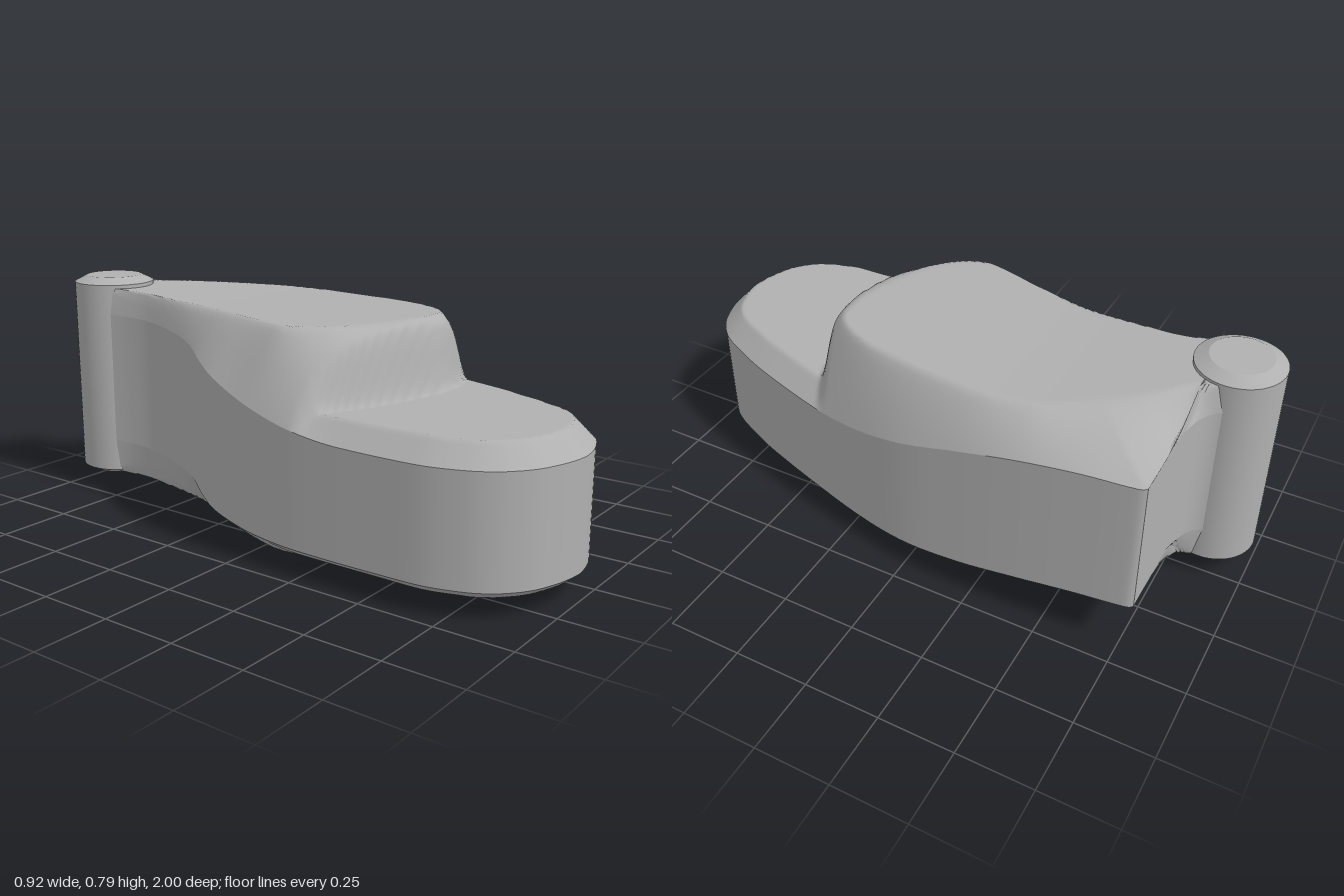
import * as THREE from 'three';
import { toCreasedNormals } from 'three/addons/utils/BufferGeometryUtils.js';

const { lerp, clamp, smoothstep } = THREE.MathUtils;

// Smooth curve through [position, value] pairs sorted by position
function table(k) {
  const slope = (i) => {
    const a = k[Math.max(i - 1, 0)], b = k[Math.min(i + 1, k.length - 1)];
    return (b[1] - a[1]) / (b[0] - a[0]);
  };
  return (p) => {
    if (p <= k[0][0]) return k[0][1];
    if (p >= k[k.length - 1][0]) return k[k.length - 1][1];
    let i = 0;
    while (p > k[i + 1][0]) i++;
    const h = k[i + 1][0] - k[i][0], t = (p - k[i][0]) / h, s = 1 - t;
    return k[i][1] * (1 + 2 * t) * s * s + slope(i) * h * t * s * s
      + k[i + 1][1] * t * t * (3 - 2 * t) - slope(i + 1) * h * t * t * s;
  };
}

// Plan outline: x of both sides against z
const leftSide = table([[-0.88, -0.2], [-0.84, -0.235], [-0.78, -0.22], [-0.7, -0.205], [-0.6, -0.2],
  [-0.45, -0.225], [-0.35, -0.265], [-0.25, -0.33], [-0.15, -0.385], [0, -0.43], [0.1, -0.447],
  [0.25, -0.46], [0.6, -0.46], [0.7, -0.453], [0.8, -0.425], [0.85, -0.4], [0.9, -0.36],
  [0.95, -0.295], [0.98, -0.22], [0.995, -0.16], [1, -0.115]]);
const rightSide = table([[-0.79, 0.435], [-0.775, 0.446], [-0.6, 0.455], [-0.4, 0.457], [-0.2, 0.45],
  [0, 0.433], [0.2, 0.388], [0.4, 0.328], [0.6, 0.262], [0.7, 0.225], [0.8, 0.18], [0.85, 0.155],
  [0.9, 0.12], [0.95, 0.06], [0.98, -0.01], [0.995, -0.07], [1, -0.115]]);
const neckSide = table([[-0.88, 0.02], [-0.84, 0.045], [-0.81, 0.09], [-0.79, 0.17]]);

// Heights against z: wall edges, raised top pad, lowered bottom pad
const wallTop = table([[-0.88, 0.67], [-0.79, 0.66], [-0.6, 0.65], [-0.4, 0.62], [-0.2, 0.57],
  [0, 0.51], [0.2, 0.46], [0.4, 0.437], [1, 0.437]]);
const wallBottom = table([[-0.88, 0.2], [-0.79, 0.2], [-0.6, 0.185], [-0.4, 0.155], [-0.2, 0.12],
  [0, 0.098], [0.2, 0.088], [1, 0.088]]);
const padTop = table([[-0.88, 0.757], [-0.75, 0.751], [-0.6, 0.743], [-0.4, 0.733], [-0.25, 0.73], [1, 0.73]]);
const padBottom = table([[-0.88, 0.085], [-0.79, 0.08], [-0.6, 0.068], [-0.4, 0.05], [-0.2, 0.022],
  [0, 0.004], [0.2, 0], [1, 0]]);
// z of the curved step between pad and front deck, against x
const stepLine = table([[-0.46, 0.235], [-0.38, 0.265], [-0.2, 0.34], [0, 0.395], [0.1, 0.41], [0.2, 0.395], [0.32, 0.36]]);

// Edge of the raised pad in plan
const pad = new THREE.SplineCurve([[-0.22, -0.8], [-0.188, -0.66], [-0.195, -0.45], [-0.21, -0.3],
  [-0.255, -0.13], [-0.3, 0.02], [-0.31, 0.1], [-0.27, 0.18], [-0.18, 0.255], [0, 0.33], [0.13, 0.348],
  [0.21, 0.325], [0.275, 0.23], [0.315, 0.08], [0.345, -0.19], [0.335, -0.35], [0.3, -0.45],
  [0.16, -0.66], [0.06, -0.77], [0.0, -0.86], [-0.2, -0.88], [-0.22, -0.8]]
  .map((p) => new THREE.Vector2(...p))).getPoints(110);

// Rows along z: fine at the round front, even along the body, then the neck
const rows = [];
const addRow = (z, side) => rows.push({ z, l: leftSide(z), r: side(z) });
for (let i = 0; i < 24; i++) addRow(1 - 0.25 * (i / 24) ** 2, rightSide);
for (let i = 0; i <= 102; i++) addRow(0.75 - i * 0.015, rightSide);
addRow(-0.79, rightSide);
for (let i = 0; i <= 8; i++) addRow(-0.79 - i * 0.01, neckSide);
const outline = [...rows.map((r) => new THREE.Vector2(r.r, r.z)),
  ...rows.map((r) => new THREE.Vector2(r.l, r.z)).reverse()];

function edgeDistance(poly, x, z) {
  let best = Infinity;
  for (let i = 0; i < poly.length; i++) {
    const a = poly[i], b = poly[(i + 1) % poly.length];
    const dx = b.x - a.x, dz = b.y - a.y;
    const t = clamp(((x - a.x) * dx + (z - a.y) * dz) / (dx * dx + dz * dz || 1), 0, 1);
    best = Math.min(best, Math.hypot(x - a.x - t * dx, z - a.y - t * dz));
  }
  return best;
}
function inside(poly, x, z) {
  let hit = false;
  for (let i = 0, j = poly.length - 1; i < poly.length; j = i++) {
    const a = poly[i], b = poly[j];
    if ((a.y > z) !== (b.y > z) && x < ((b.x - a.x) * (z - a.y)) / (b.y - a.y) + a.x) hit = !hit;
  }
  return hit;
}

// Top and bottom height at a plan point
function heights(x, z, onEdge) {
  const yt = wallTop(z), yb = wallBottom(z);
  if (onEdge) return [yt, yb];
  const dOut = edgeDistance(outline, x, z);
  const dPad = inside(pad, x, z) ? 0 : edgeDistance(pad, x, z);
  const t = dOut / (dOut + dPad + 1e-5);
  const rise = 1 - (1 - t) ** 1.25;
  const deckTop = lerp(yt, Math.max(yt, 0.503), clamp(dOut / 0.065, 0, 1));
  const deckBottom = lerp(yb, 0.065, clamp(dOut / 0.025, 0, 1));
  const s = z - stepLine(x);
  return [
    lerp(lerp(yt, padTop(z), rise), deckTop, smoothstep(s, -0.025, 0.025)),
    lerp(lerp(yb, padBottom(z), rise), deckBottom, smoothstep(s, -0.17, -0.02)),
  ];
}

function meshFrom(name, positions, index, material, creased) {
  let geo = new THREE.BufferGeometry();
  geo.setAttribute('position', new THREE.Float32BufferAttribute(positions, 3));
  geo.setIndex(index);
  if (creased) geo = toCreasedNormals(geo, 0.6);
  else geo.computeVertexNormals();
  const mesh = new THREE.Mesh(geo, material);
  mesh.name = name;
  return mesh;
}

export function createModel() {
  const group = new THREE.Group();
  group.name = 'hingedHousing';
  const grey = new THREE.MeshStandardMaterial({ color: 0xb0b0b0 });
  grey.name = 'plain grey';

  // Sculpted top and underside share one grid
  const cols = 64, top = [], bottom = [], topIndex = [], bottomIndex = [];
  rows.forEach(({ z, l, r }, i) => {
    for (let j = 0; j <= cols; j++) {
      const v = j / cols, u = lerp(v, 0.5 - 0.5 * Math.cos(Math.PI * v), 0.5);
      const x = lerp(l, r, u);
      const [yt, yb] = heights(x, z, j === 0 || j === cols || i === 0);
      top.push(x, yt, z);
      bottom.push(x, yb, z);
      if (i === rows.length - 1 || j === cols) continue;
      const a = i * (cols + 1) + j, b = a + 1, d = a + cols + 1, c = d + 1;
      topIndex.push(a, b, c, a, c, d);
      bottomIndex.push(a, c, b, a, d, c);
    }
  });
  group.add(meshFrom('topShell', top, topIndex, grey));
  group.add(meshFrom('underside', bottom, bottomIndex, grey));

  // Upright wall following the outline, including the flat back
  const wall = [], wallIndex = [];
  rows.forEach(({ z, l, r }, i) => {
    const yt = wallTop(z), yb = wallBottom(z);
    wall.push(r, yb, z, r, yt, z, l, yb, z, l, yt, z);
    if (i === rows.length - 1) return;
    const a = i * 4, b = a + 4;
    wallIndex.push(a, b, b + 1, a, b + 1, a + 1);
    wallIndex.push(a + 2, b + 3, b + 2, a + 2, a + 3, b + 3);
  });
  group.add(meshFrom('sideWall', wall, wallIndex, grey, true));

  // Hinge barrel with chamfered ends
  const profile = [[0, 0.063], [0.097, 0.063], [0.14, 0.085], [0.14, 0.763], [0.097, 0.785], [0, 0.785]]
    .map((p) => new THREE.Vector2(...p));
  const barrel = new THREE.Mesh(toCreasedNormals(new THREE.LatheGeometry(profile, 48), 0.4), grey);
  barrel.name = 'hingeBarrel';
  barrel.position.set(-0.11, 0, -0.86);
  group.add(barrel);

  return group;
}
